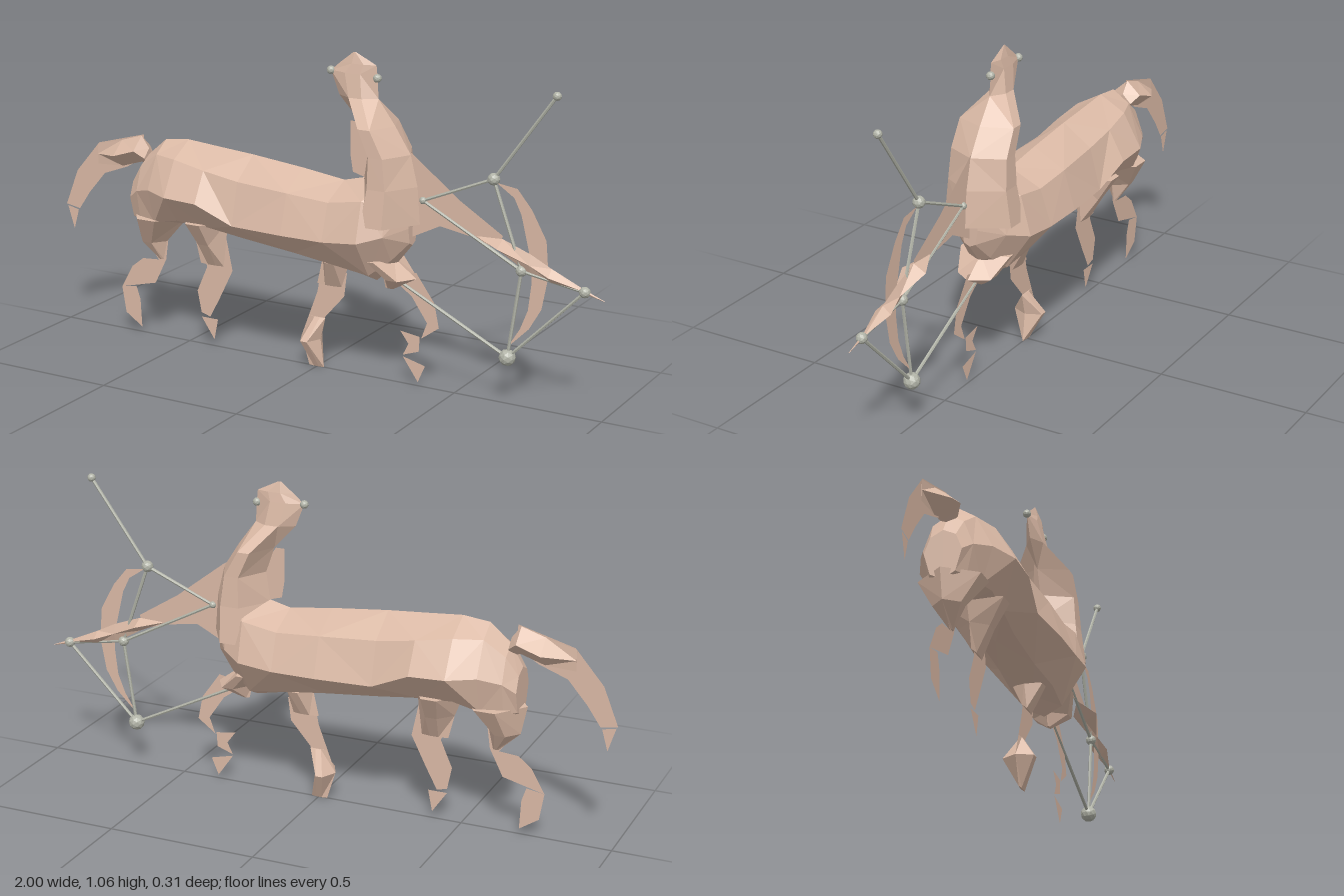
import * as THREE from 'three';

const skin = new THREE.MeshStandardMaterial({ color: 0xdab9a5, flatShading: true, side: THREE.DoubleSide });
skin.name = 'skin';
const metal = new THREE.MeshStandardMaterial({ color: 0xb2b4a8, flatShading: true });
metal.name = 'grey metal';

export function createModel() {
  const model = new THREE.Group();
  model.name = 'archer';

  function add(name, geometry, material) {
    const mesh = new THREE.Mesh(geometry, material);
    mesh.name = name;
    model.add(mesh);
    return mesh;
  }

  // Skin a list of equal-length rings and cap both ends
  function loft(name, rings) {
    const n = rings[0].length;
    const index = [];
    for (let r = 0; r < rings.length - 1; r++) {
      for (let i = 0; i < n; i++) {
        const a = r * n + i, b = r * n + (i + 1) % n;
        if ((r + i) % 2) index.push(a, b, b + n, a, b + n, a + n);
        else index.push(a, b, a + n, b, b + n, a + n);
      }
    }
    const last = (rings.length - 1) * n;
    for (let i = 1; i < n - 1; i++) {
      index.push(0, i + 1, i, last, last + i, last + i + 1);
    }
    const g = new THREE.BufferGeometry();
    g.setAttribute('position', new THREE.Float32BufferAttribute(rings.flat(2), 3));
    g.setIndex(index);
    const flat = g.toNonIndexed();
    flat.computeVertexNormals();
    return add(name, flat, skin);
  }

  // Upright form: sections [y, back x, front x, half width], bottom to top
  const upright = (name, sections) => loft(name, sections.map(([y, x0, x1, z]) => {
    const a = x0 + (x1 - x0) * 0.35, b = x0 + (x1 - x0) * 0.68;
    return [[x0, y, 0], [a, y, z], [b, y, z], [x1, y, 0], [b, y, -z], [a, y, -z]];
  }));

  // Diamond-section form along x: sections [x, top y, bottom y, half width]
  const spindle = (name, sections) => loft(name, sections.map(([x, t, b, z]) => {
    const m = (t + b) / 2;
    return [[x, t, 0], [x, m, z], [x, b, 0], [x, m, -z]];
  }));

  // Flat outline in the middle plane
  const plate = (name, points) => add(name, new THREE.ShapeGeometry(
    new THREE.Shape(points.map(([x, y]) => new THREE.Vector2(x, y)))), skin);

  // Horse body: [x, top, shoulder z, y, flank z, y, belly z, y, bottom]
  const body = [
    [-0.69, 0.57, 0.04, 0.55, 0.06, 0.50, 0.04, 0.43, 0.41],
    [-0.65, 0.64, 0.05, 0.61, 0.08, 0.53, 0.06, 0.43, 0.39],
    [-0.58, 0.70, 0.06, 0.66, 0.115, 0.55, 0.08, 0.43, 0.39],
    [-0.49, 0.71, 0.09, 0.66, 0.155, 0.545, 0.08, 0.45, 0.43],
    [-0.37, 0.70, 0.10, 0.64, 0.155, 0.54, 0.07, 0.44, 0.41],
    [-0.24, 0.69, 0.10, 0.62, 0.137, 0.48, 0.06, 0.42, 0.405],
    [-0.05, 0.67, 0.11, 0.61, 0.15, 0.48, 0.06, 0.40, 0.38],
    [0.10, 0.65, 0.11, 0.60, 0.15, 0.48, 0.07, 0.385, 0.36],
    [0.22, 0.68, 0.11, 0.62, 0.145, 0.49, 0.06, 0.365, 0.335],
    [0.29, 0.68, 0.08, 0.60, 0.10, 0.51, 0.04, 0.42, 0.40],
    [0.345, 0.64, 0.03, 0.60, 0.03, 0.53, 0.02, 0.48, 0.47],
  ];
  loft('horseBody', body.map(([x, t, uz, uy, mz, my, lz, ly, b]) => [
    [x, t, 0], [x, uy, uz], [x, my, mz], [x, ly, lz],
    [x, b, 0], [x, ly, -lz], [x, my, -mz], [x, uy, -uz]]));

  // Human torso, neck and head
  upright('torso', [
    [0.54, 0.14, 0.37, 0.12], [0.66, 0.17, 0.36, 0.105], [0.76, 0.185, 0.335, 0.10],
    [0.845, 0.155, 0.28, 0.097], [0.925, 0.08, 0.22, 0.03]]);
  upright('head', [
    [0.925, 0.08, 0.22, 0.03], [1.0, 0.05, 0.215, 0.016],
    [1.03, 0.085, 0.212, 0.01], [1.065, 0.13, 0.14, 0.001]]);
  plate('rearElbow', [[0.12, 0.845], [0.15, 0.845], [0.2, 0.77], [0.2, 0.66], [0.13, 0.68], [0.12, 0.74]]);

  // Outstretched arm, hand with arrow, and bow
  plate('arm', [[0.30, 0.79], [0.34, 0.765], [0.51, 0.635], [0.655, 0.545], [0.64, 0.50],
    [0.56, 0.525], [0.44, 0.545], [0.33, 0.49], [0.29, 0.47]]);
  spindle('handAndArrow', [
    [0.57, 0.532, 0.528, 0.002], [0.655, 0.535, 0.49, 0.042], [0.75, 0.50, 0.435, 0.012],
    [0.82, 0.465, 0.42, 0.027], [0.92, 0.42, 0.405, 0.004], [0.995, 0.39, 0.388, 0.001]]);
  plate('bow', [[0.63, 0.71], [0.70, 0.70], [0.75, 0.64], [0.80, 0.55], [0.81, 0.44], [0.79, 0.33],
    [0.75, 0.26], [0.68, 0.19], [0.72, 0.255], [0.745, 0.32], [0.755, 0.41], [0.75, 0.48],
    [0.735, 0.54], [0.715, 0.62], [0.69, 0.67]]);

  // Thighs with volume
  upright('rearThigh', [[0.28, -0.62, -0.60, 0.005], [0.345, -0.69, -0.585, 0.045], [0.44, -0.71, -0.50, 0.10]]);
  upright('secondThigh', [[0.29, -0.45, -0.36, 0.005], [0.37, -0.47, -0.35, 0.05], [0.45, -0.50, -0.34, 0.10]]);
  upright('frontThigh', [[0.29, 0.0, 0.09, 0.005], [0.38, 0.02, 0.12, 0.05]]);
  upright('leadThigh', [[0.315, 0.25, 0.28, 0.005], [0.36, 0.24, 0.36, 0.06], [0.42, 0.2, 0.28, 0.09]]);

  // Flat lower legs and hooves
  plate('rearLeg', [[-0.69, 0.36], [-0.58, 0.35], [-0.59, 0.28], [-0.635, 0.19], [-0.775, 0.155],
    [-0.73, 0.235], [-0.685, 0.27], [-0.62, 0.275]]);
  plate('rearHoof', [[-0.775, 0.155], [-0.715, 0.165], [-0.70, 0.12], [-0.695, 0.022], [-0.76, 0.065]]);
  plate('secondLeg', [[-0.46, 0.36], [-0.35, 0.40], [-0.325, 0.28], [-0.375, 0.18], [-0.415, 0.105],
    [-0.45, 0.115], [-0.465, 0.19], [-0.425, 0.28]]);
  plate('secondHoof', [[-0.45, 0.10], [-0.385, 0.10], [-0.40, 0.027]]);
  plate('frontLeg', [[0.02, 0.36], [0.11, 0.34], [0.10, 0.26], [0.03, 0.18], [0.01, 0.10],
    [-0.06, 0.10], [-0.03, 0.18], [0.0, 0.26]]);
  upright('frontHoof', [[0.005, -0.03, 0.025, 0.003], [0.10, -0.06, 0.012, 0.052], [0.175, -0.03, 0.03, 0.003]]);
  plate('leadLeg', [[0.26, 0.36], [0.36, 0.38], [0.425, 0.29], [0.442, 0.21], [0.38, 0.165],
    [0.40, 0.22], [0.345, 0.30]]);
  plate('leadShin', [[0.305, 0.18], [0.375, 0.17], [0.372, 0.12], [0.315, 0.10], [0.335, 0.14]]);
  plate('leadHoof', [[0.315, 0.095], [0.395, 0.075], [0.37, 0.017]]);

  // Tail: solid root and flat sweep
  spindle('tailRoot', [[-0.86, 0.65, 0.58, 0.002], [-0.76, 0.675, 0.585, 0.055],
    [-0.68, 0.70, 0.61, 0.05], [-0.65, 0.66, 0.60, 0.03]]);
  plate('tail', [[-0.67, 0.705], [-0.855, 0.655], [-0.95, 0.545], [-1.0, 0.42], [-0.945, 0.41],
    [-0.90, 0.475], [-0.835, 0.55], [-0.74, 0.585], [-0.665, 0.63]]);
  plate('tailTip', [[-0.995, 0.415], [-0.95, 0.405], [-0.97, 0.335]]);

  // Star beads [x, y, radius] and the rods that join them
  const stars = [[0.82, 1.0, 0.014], [0.62, 0.72, 0.02], [0.38, 0.62, 0.012], [0.72, 0.443, 0.018],
    [0.93, 0.408, 0.018], [0.68, 0.156, 0.027], [0.24, 0.375, 0.014], [0.05, 1.0, 0.014], [0.215, 0.99, 0.014]];
  for (const [x, y, r] of stars) {
    add('starBead', new THREE.IcosahedronGeometry(r, 1), metal).position.set(x, y, 0);
  }
  for (const [i, j] of [[0, 1], [1, 2], [1, 3], [2, 3], [3, 5], [4, 5], [5, 6], [3, 4]]) {
    const a = new THREE.Vector3(stars[i][0], stars[i][1], 0);
    const b = new THREE.Vector3(stars[j][0], stars[j][1], 0);
    const rod = add('rod', new THREE.CylinderGeometry(0.0055, 0.0055, a.distanceTo(b), 6), metal);
    rod.position.copy(a).add(b).multiplyScalar(0.5);
    rod.quaternion.setFromUnitVectors(new THREE.Vector3(0, 1, 0), b.sub(a).normalize());
  }

  return model;
}
